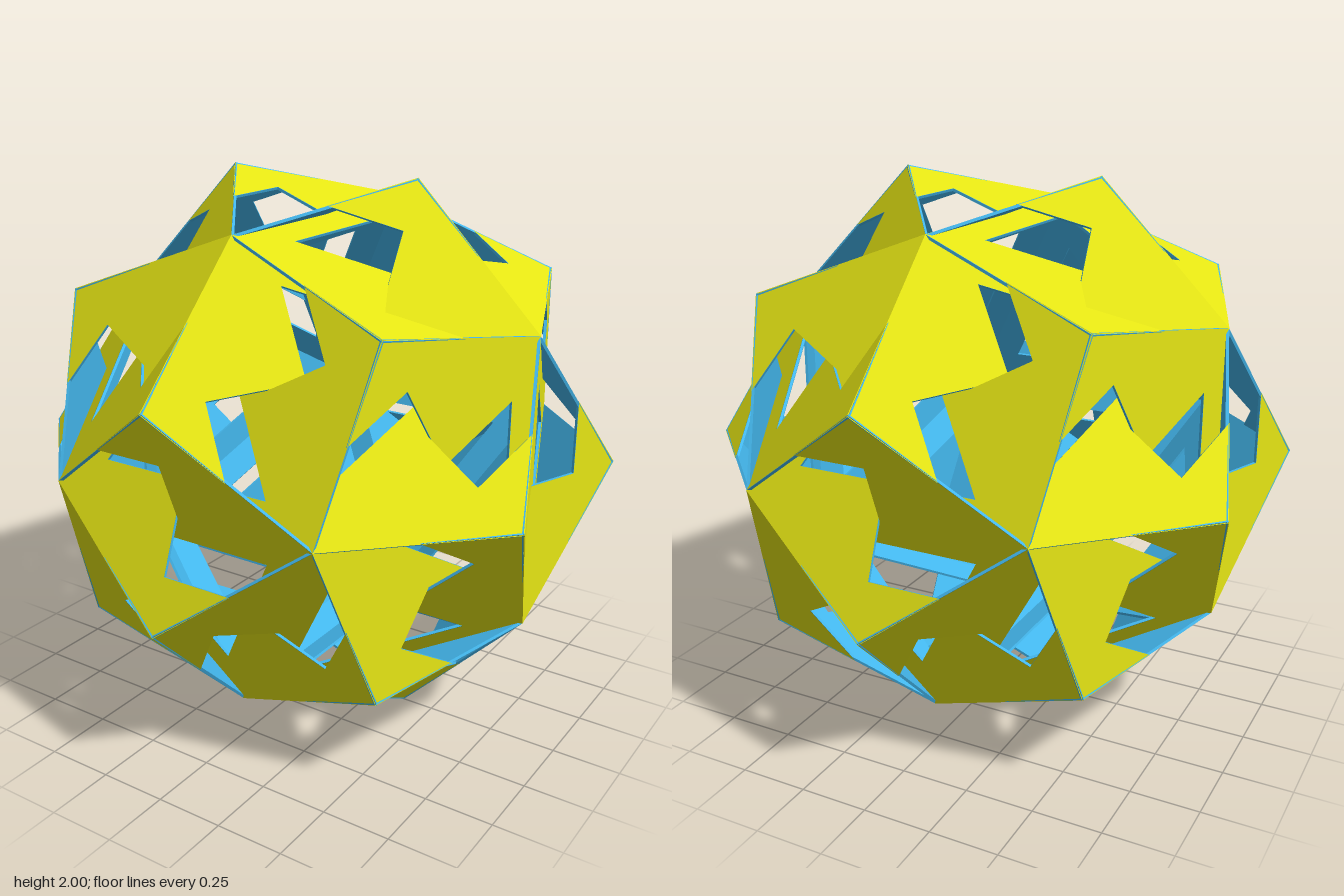
import * as THREE from 'three';

const PHI = (1 + Math.sqrt(5)) / 2;
const HALF = 1 / Math.sqrt(PHI * PHI + 1);   // half the edge between two inner corners
const APOTHEM = HALF / Math.sqrt(3);         // centre of the panel to that edge
const TIP = 0.714;                           // centre of the panel to the outer points
const PLANE = 0.795;                         // centre of the ball to the panel
const RIM = 0.115;                           // width of the ring round the central opening
const THICK = 0.01;

// Three-pointed panel: each point has a slot cut through half of its base
function panelShape() {
  const mid = (APOTHEM + TIP) / 2;
  const arm = [[HALF, APOTHEM], [0, TIP], [-HALF / 2, mid], [0, mid], [0, APOTHEM]];
  const origin = new THREE.Vector2();
  const outline = [], hole = [];
  for (let k = 0; k < 3; k++) {
    const turn = k * Math.PI * 2 / 3;
    for (const [x, y] of arm) outline.push(new THREE.Vector2(x, y).rotateAround(origin, turn));
    const a = Math.PI / 6 + turn, r = 2 * (APOTHEM - RIM);
    hole.push(new THREE.Vector2(r * Math.cos(a), r * Math.sin(a)));
  }
  const shape = new THREE.Shape(outline);
  shape.holes.push(new THREE.Path(hole.reverse()));
  return shape;
}

// The 20 directions the panels face
function panelDirections() {
  const dirs = [];
  const s = [-1, 1];
  for (const a of s) for (const b of s) {
    const p = a / PHI, q = b * PHI;
    dirs.push([0, p, q], [q, 0, p], [p, q, 0]);
    for (const c of s) dirs.push([a, b, c]);
  }
  return dirs.map(d => new THREE.Vector3(...d).normalize());
}

export function createModel() {
  const model = new THREE.Group();
  model.name = 'interlockedPanelBall';
  const yellow = new THREE.MeshStandardMaterial({ color: 0xe6e614 });
  const blue = new THREE.MeshStandardMaterial({ color: 0x44b8ee });

  const shape = panelShape();
  const outerGeo = new THREE.ShapeGeometry(shape);
  const backGeo = new THREE.ExtrudeGeometry(shape, { depth: THICK, bevelEnabled: false });
  backGeo.translate(0, 0, -THICK - 0.001);

  const dirs = panelDirections();
  dirs.forEach((n, i) => {
    // One point of each panel aims at a neighbouring direction
    const near = dirs.find(d => d !== n && d.dot(n) > 0.7);
    const up = near.clone().addScaledVector(n, -near.dot(n)).normalize();
    const right = up.clone().cross(n);

    const panel = new THREE.Group();
    panel.name = `panel${i + 1}`;
    const face = new THREE.Mesh(outerGeo, yellow);
    face.name = 'outerFace';
    const back = new THREE.Mesh(backGeo, blue);
    back.name = 'innerBacking';
    panel.add(face, back);
    panel.quaternion.setFromRotationMatrix(new THREE.Matrix4().makeBasis(right, up, n));
    panel.position.copy(n).multiplyScalar(PLANE);
    panel.position.y += 1;
    model.add(panel);
  });
  return model;
}
